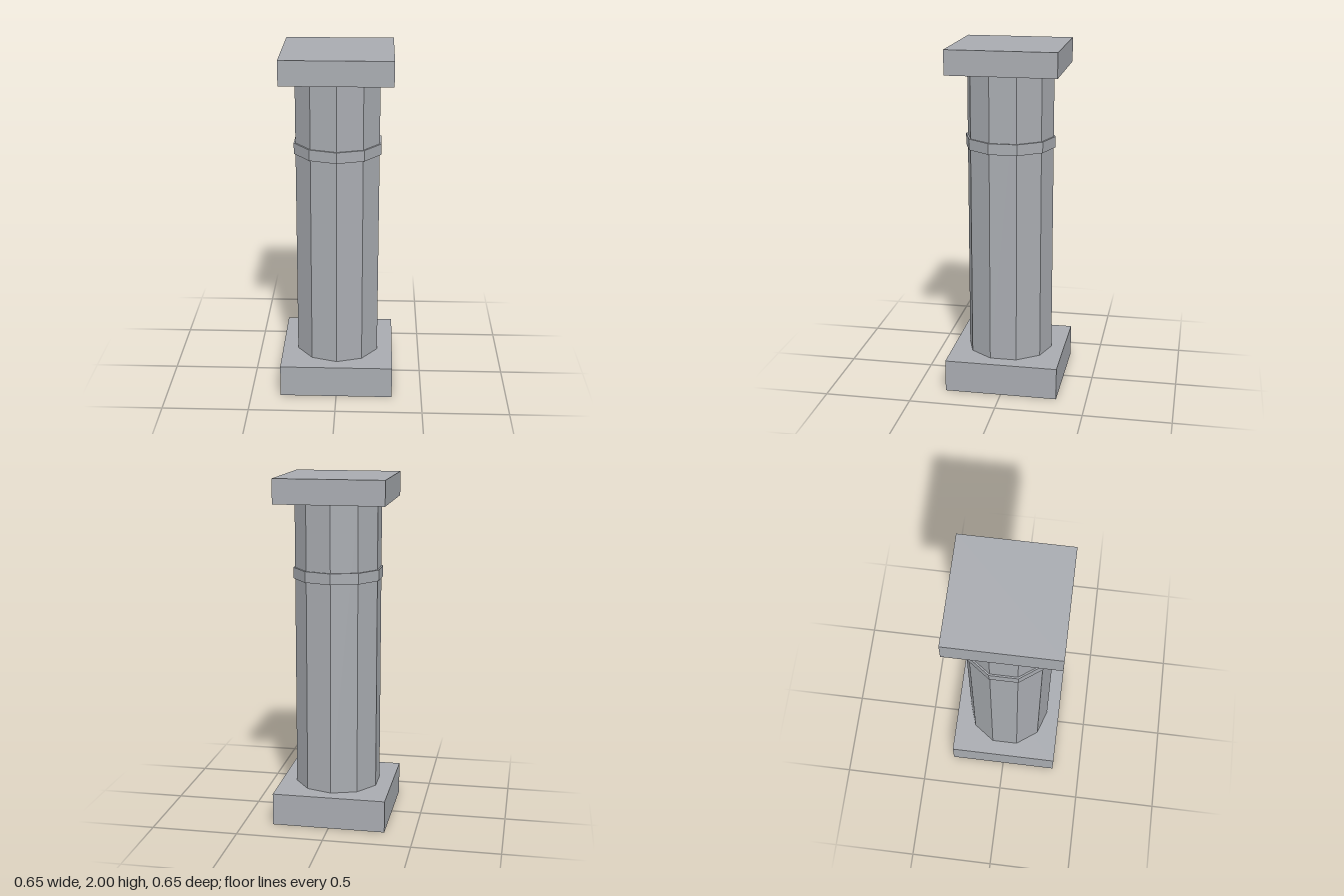
import * as THREE from 'three';

export function createModel() {
  const model = new THREE.Group();
  model.name = 'column';

  const stone = new THREE.MeshStandardMaterial({ color: 0xa8abb0, flatShading: true });
  stone.name = 'grey stone';

  // Places a part between two heights
  const add = (name, makeGeometry, bottom, top) => {
    const mesh = new THREE.Mesh(makeGeometry(top - bottom), stone);
    mesh.name = name;
    mesh.position.y = (bottom + top) / 2;
    model.add(mesh);
  };
  const slab = (width) => (h) => new THREE.BoxGeometry(width, h, width);
  const tenSided = (radius, open) => (h) => new THREE.CylinderGeometry(radius, radius, h, 10, 1, open);

  // Square base and capital, ten-sided shaft with a thin raised band
  add('base', slab(0.654), 0, 0.187);
  add('shaft', tenSided(0.25, true), 0.187, 1.86);
  add('collar', tenSided(0.26, false), 1.415, 1.478);
  add('capital', slab(0.622), 1.86, 2);

  return model;
}
